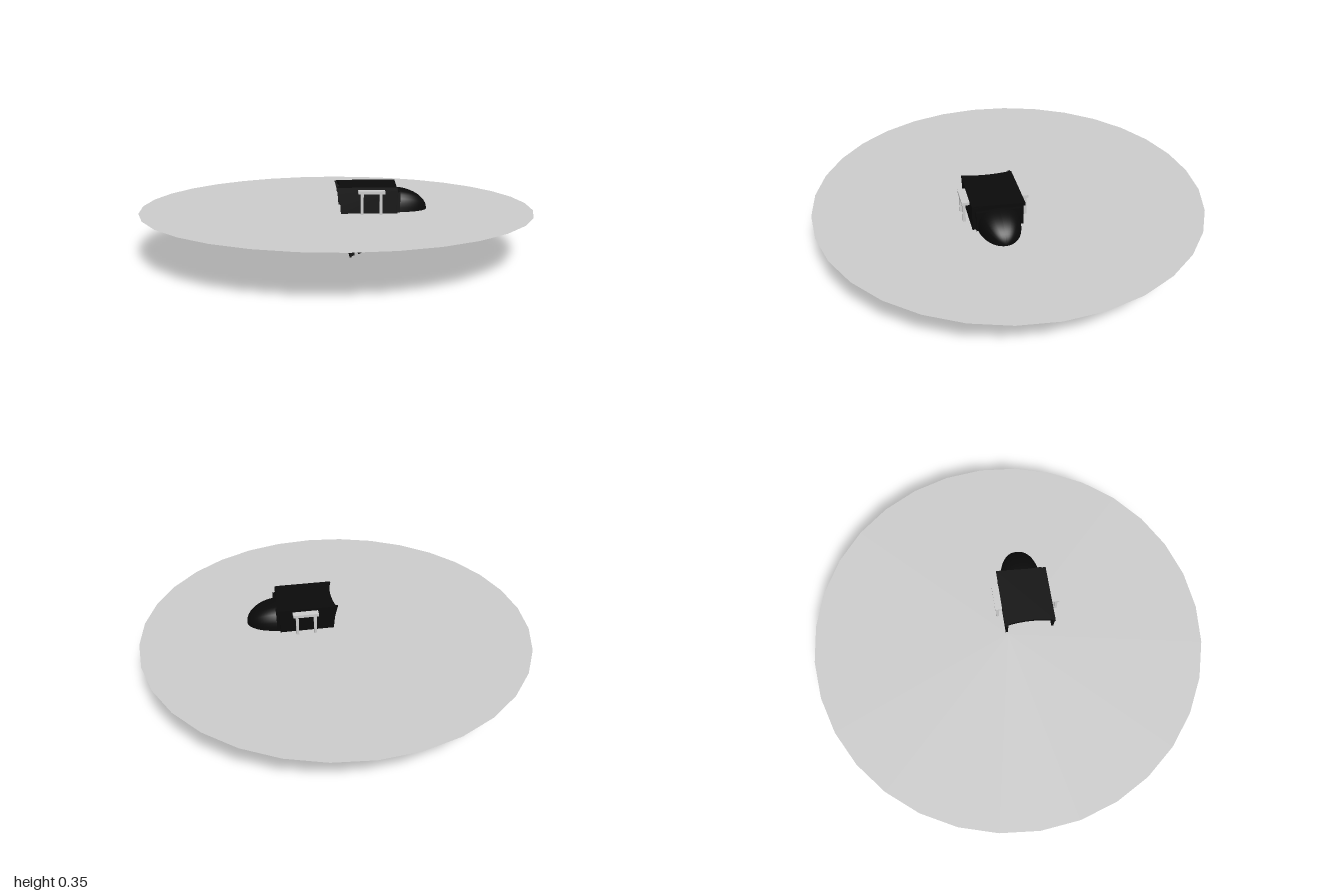
import * as THREE from 'three';

const black = new THREE.MeshStandardMaterial({ color: 0x0a0a0a });
black.name = 'black';
const grey = new THREE.MeshStandardMaterial({ color: 0xcccccc, side: THREE.DoubleSide });
grey.name = 'light grey';

const MID_Z = 0.115; // centre plane of the body

export function createModel() {
  const model = new THREE.Group();
  const add = (name, geometry, material, x = 0, y = 0, z = 0) => {
    const mesh = new THREE.Mesh(geometry, material);
    mesh.name = name;
    mesh.position.set(x, y, z);
    model.add(mesh);
    return mesh;
  };
  // box given by its limits on each axis
  const box = (name, material, x0, x1, y0, y1, z0, z1) =>
    add(name, new THREE.BoxGeometry(x1 - x0, y1 - y0, z1 - z0), material,
      (x0 + x1) / 2, (y0 + y1) / 2, (z0 + z1) / 2);
  const extrude = (shape, depth) =>
    new THREE.ExtrudeGeometry(shape, { depth, bevelEnabled: false, curveSegments: 8 });

  // flat round sheet crossing the body
  const sheet = new THREE.CircleGeometry(1, 32);
  sheet.rotateX(-Math.PI / 2);
  add('disc', sheet, grey, 0, 0.223, 0);

  // side walls with a hollow rear edge and a triangular opening
  const wall = new THREE.Shape();
  wall.moveTo(-0.01, 0.35);
  wall.quadraticCurveTo(0.03, 0.23, -0.005, 0.09);
  wall.lineTo(0.27, 0.09);
  wall.lineTo(0.29, 0.12);
  wall.lineTo(0.29, 0.35);
  wall.closePath();
  const opening = new THREE.Path();
  opening.moveTo(0.115, 0.125);
  opening.lineTo(0.25, 0.19);
  opening.lineTo(0.27, 0.112);
  opening.lineTo(0.115, 0.112);
  opening.closePath();
  wall.holes.push(opening);
  for (const z of [-0.01, 0.23]) add('sideWall', extrude(wall, 0.012), black, 0, 0, z);

  // roof with a curved rear edge
  const top = new THREE.Shape();
  top.moveTo(0, -0.015);
  top.quadraticCurveTo(0.025, 0.12, -0.01, 0.242);
  top.lineTo(0.285, 0.242);
  top.lineTo(0.305, -0.015);
  top.closePath();
  const roof = extrude(top, 0.015);
  roof.rotateX(Math.PI / 2);
  add('roof', roof, black, 0, 0.352, 0);
  box('frontWall', black, 0.275, 0.29, 0.13, 0.345, -0.005, 0.238);

  // nose: half dome with a rounded-square section
  const dome = new THREE.SphereGeometry(1, 32, 16, 0, Math.PI * 2, 0, Math.PI / 2);
  dome.rotateZ(-Math.PI / 2);
  const p = dome.attributes.position;
  for (let i = 0; i < p.count; i++) {
    const y = p.getY(i), z = p.getZ(i);
    const r = Math.hypot(y, z) || 1;
    const k = Math.pow(Math.pow(Math.abs(y / r), 3) + Math.pow(Math.abs(z / r), 3), -1 / 3);
    p.setXYZ(i, p.getX(i) * 0.175, y * k * 0.106, z * k * 0.106);
  }
  dome.computeVertexNormals();
  add('nose', dome, black, 0.277, 0.225, 0.112);
  box('noseCollar', black, 0.285, 0.305, 0.14, 0.325, 0.005, 0.225);

  // handles on both sides, each a slab on two posts
  for (const s of [-1, 1]) {
    const slab = MID_Z + s * 0.145, post = MID_Z + s * 0.153;
    box('handleTop', grey, 0.095, 0.225, 0.325, 0.34, slab - 0.02, slab + 0.02);
    for (const x of [0.113, 0.205])
      box('handlePost', grey, x - 0.007, x + 0.007, 0.223, 0.326, post - 0.007, post + 0.007);
  }

  // comb of tapering blades under the body
  const blade = new THREE.Shape();
  blade.moveTo(0.055, 0.11);
  blade.lineTo(0.055, 0.005);
  blade.lineTo(0.08, 0.015);
  blade.lineTo(0.08, 0.045);
  blade.lineTo(0.1, 0.02);
  blade.lineTo(0.17, 0.055);
  blade.lineTo(0.22, 0.07);
  blade.lineTo(0.24, 0.11);
  blade.closePath();
  const bladeGeometry = extrude(blade, 0.007);
  bladeGeometry.translate(0, -0.005, 0);
  for (let i = 0; i < 12; i++) add('blade', bladeGeometry, black, 0, 0, -0.003 + i * 0.0207);
  for (const x of [0.06, 0.14, 0.22])
    box('crossBar', black, x, x + 0.02, 0.095, 0.112, -0.008, 0.24);

  // slanted brace and long bar along the underside
  const brace = box('brace', black, 0.02, 0.25, 0.15, 0.165, 0.02, 0.21);
  brace.rotation.z = 0.42;
  box('longBar', black, -0.03, 0.35, 0.042, 0.058, 0.085, 0.145);

  // foot under the rear blades
  box('foot', black, 0.055, 0.065, 0, 0.03, 0, 0.235);
  return model;
}
